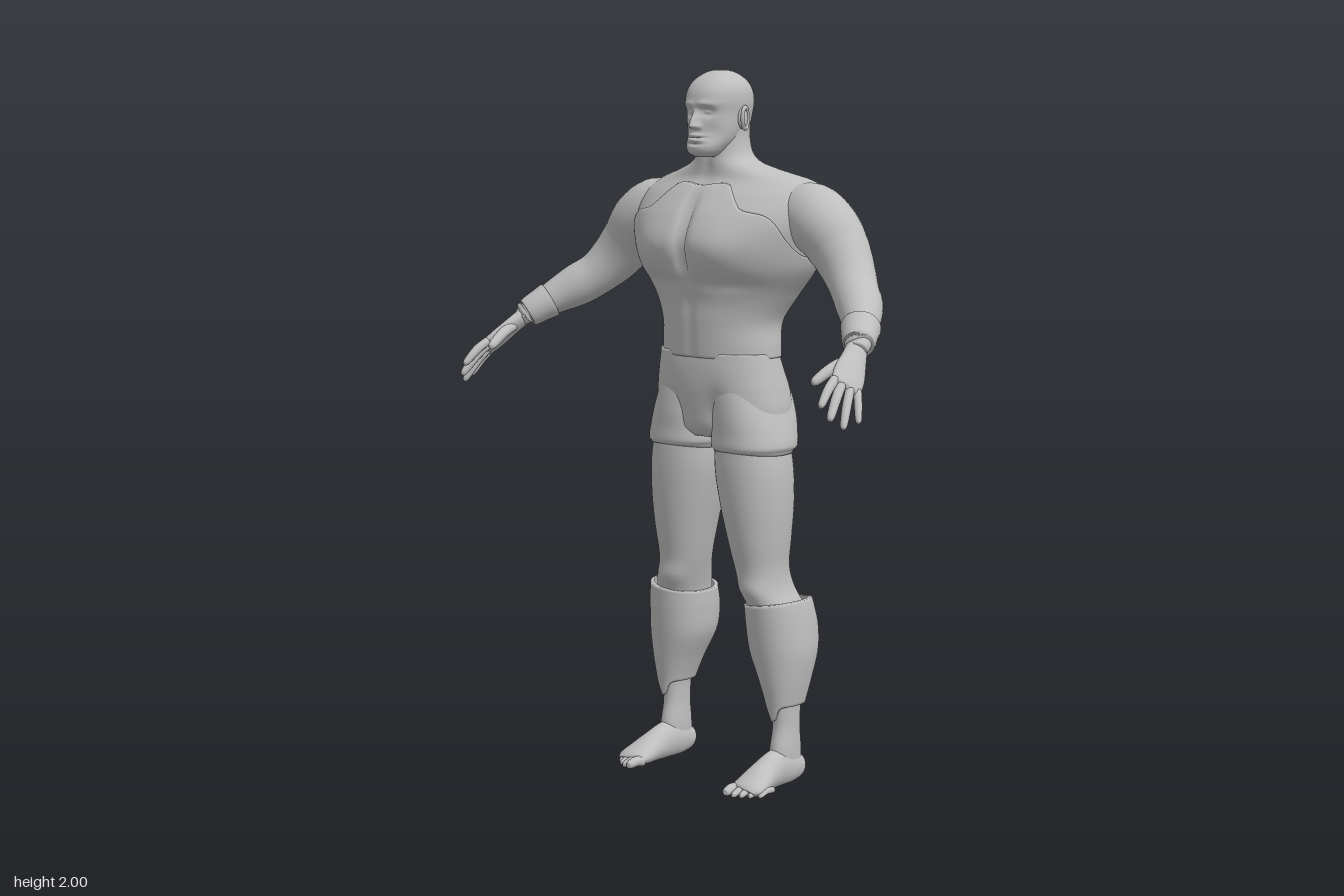
import * as THREE from 'three';

const V = (x, y, z) => new THREE.Vector3(x, y, z);
const gauss = (d, w) => Math.exp(-(d * d) / (w * w));
const smooth = THREE.MathUtils.smoothstep;
const val = (f, a) => (typeof f === 'function' ? f(a) : f);
const bend = (c, p) => Math.sign(c) * Math.abs(c) ** (2 / p);

// Smooth interpolation through rows whose first number is the key
function sample(rows, k) {
  let i = 0;
  while (i < rows.length - 2 && k > rows[i + 1][0]) i++;
  const at = (n) => rows[Math.min(Math.max(n, 0), rows.length - 1)];
  const [p, a, b, q] = [at(i - 1), at(i), at(i + 1), at(i + 2)];
  const h = b[0] - a[0], t = Math.min(Math.max((k - a[0]) / h, 0), 1);
  return a.map((v, c) => {
    const m0 = ((b[c] - p[c]) / (b[0] - p[0])) * h, m1 = ((q[c] - v) / (q[0] - a[0])) * h;
    const d = b[c] - v;
    return v + t * m0 + t * t * (3 * d - 2 * m0 - m1) + t * t * t * (m0 + m1 - 2 * d);
  });
}

export function createModel() {
  const model = new THREE.Group();
  model.name = 'muscularFigure';
  const grey = new THREE.MeshStandardMaterial({ color: 0xbebebe, side: THREE.DoubleSide });
  grey.name = 'clay grey';

  function add(name, geometry, parent = model) {
    const mesh = new THREE.Mesh(geometry, grey);
    mesh.name = name;
    parent.add(mesh);
    return mesh;
  }

  // Closed skin over rings; at(i, angle) gives a point
  function skin(name, at, rows, cols, capped, parent) {
    const pos = [], idx = [];
    for (let i = 0; i <= rows; i++) {
      for (let j = 0; j < cols; j++) {
        pos.push(...at(i, (j / cols) * Math.PI * 2).toArray());
        if (i === rows) continue;
        const a = i * cols + j, b = i * cols + ((j + 1) % cols);
        idx.push(a, b, a + cols, b, b + cols, a + cols);
      }
    }
    if (capped) for (const r of [0, rows]) {
      const mid = V(0, 0, 0), n = pos.length / 3;
      for (let j = 0; j < cols; j++) mid.add(V(...pos.slice((r * cols + j) * 3, (r * cols + j) * 3 + 3)));
      pos.push(...mid.divideScalar(cols).toArray());
      for (let j = 0; j < cols; j++) {
        const a = r * cols + j, b = r * cols + ((j + 1) % cols);
        idx.push(...(r ? [a, b, n] : [b, a, n]));
      }
    }
    const g = new THREE.BufferGeometry();
    g.setAttribute('position', new THREE.Float32BufferAttribute(pos, 3));
    g.setIndex(idx);
    g.computeVertexNormals();
    return add(name, g, parent);
  }

  // Upright part: rows are [y, centre x, half width, z back, z front]; angle 0 is the front
  function stack(name, rows, o = {}, parent = model) {
    const { n = 40, cols = 48, off = 0, p = 2.2, detail, rim = false } = o;
    const { lo = rows[0][0], hi = rows[rows.length - 1][0] } = o;
    return skin(name, (i, a) => {
      const t = rim ? Math.min(Math.max((i - 1) / (n - 2), 0), 1) : i / n;
      const e = rim && (i === 0 || i === n) ? -0.004 : off;
      const y = val(lo, a) + (val(hi, a) - val(lo, a)) * t;
      const [, cx, rx, zb, zf] = sample(rows, y);
      const v = V(cx + (rx + e) * bend(Math.sin(a), p), y, (zb + zf) / 2 + ((zf - zb) / 2 + e) * bend(Math.cos(a), p));
      if (detail) detail(v, a);
      return v;
    }, n, cols, !rim, parent);
  }

  // Limb along a path: points are [x, y, z, radius across, radius along ref]
  function limb(name, pts, parent, o = {}) {
    const { n = 24, cols = 20, ref = V(0, 1, 0), floor = -1 } = o;
    const rows = pts.map((q, i) => [i, ...q]), last = pts.length - 1;
    return skin(name, (i, a) => {
      const k = (i / n) * last, s = sample(rows, k);
      const c = V(s[1], s[2], s[3]);
      const f = sample(rows, Math.min(k + 0.05, last)), b = sample(rows, Math.max(k - 0.05, 0));
      const t = V(f[1] - b[1], f[2] - b[2], f[3] - b[3]).normalize();
      const u = V().crossVectors(ref, t).normalize(), w = V().crossVectors(t, u);
      c.addScaledVector(u, s[4] * Math.cos(a)).addScaledVector(w, s[5] * Math.sin(a));
      c.y = Math.max(c.y, floor);
      return c;
    }, n, cols, true, parent);
  }
  const finger = (name, a, b, r, parent, o) => {
    const m = (t, lift, s) => [a[0] + (b[0] - a[0]) * t, a[1] + (b[1] - a[1]) * t + lift, a[2] + (b[2] - a[2]) * t, r * s, r * s];
    limb(name, [m(0, 0, 1), m(0.45, 0.006, 1.02), m(0.85, 0.002, 0.85), m(0.97, 0, 0.55), m(1, 0, 0.1)], parent, { n: 14, cols: 12, ...o });
  };

  // Torso, shoulders and neck
  const torso = [
    [1.19, 0, 0.178, -0.2, 0.015], [1.24, 0, 0.178, -0.2, 0.018], [1.31, 0, 0.178, -0.21, 0.022],
    [1.38, 0, 0.217, -0.235, 0.026], [1.46, 0, 0.275, -0.255, 0.055], [1.53, 0, 0.3, -0.262, 0.066],
    [1.6, 0, 0.33, -0.262, 0.042], [1.66, 0, 0.32, -0.252, 0.0], [1.7, 0, 0.26, -0.238, -0.035],
    [1.725, 0, 0.17, -0.215, -0.04], [1.75, 0, 0.1, -0.192, -0.04], [1.79, 0, 0.077, -0.176, -0.042], [1.87, 0, 0.074, -0.17, -0.045]];
  const muscles = (v, a) => {
    const front = smooth(Math.cos(a), 0, 0.5), back = smooth(-Math.cos(a), 0, 0.5);
    const upper = smooth(v.y, 1.4, 1.48) * (1 - smooth(v.y, 1.6, 1.7));
    v.z -= 0.4 * v.x * v.x;
    v.z -= front * (0.02 * upper * gauss(v.x, 0.018) + 0.004 * gauss(v.x, 0.015));
    v.z += front * 0.014 * upper * gauss(Math.abs(v.x) - 0.12, 0.08) * gauss(v.y - 1.51, 0.07);
    v.z -= front * 0.008 * gauss(v.y - 1.42, 0.02) * gauss(Math.abs(v.x) - 0.11, 0.09);
    v.z += back * 0.024 * gauss(v.x, 0.035) * smooth(v.y, 1.2, 1.32) * (1 - smooth(v.y, 1.66, 1.74));
    v.z -= back * 0.014 * gauss(Math.abs(v.x) - 0.13, 0.08) * gauss(v.y - 1.56, 0.12);
  };
  stack('torsoAndNeck', torso, { n: 70, cols: 96, detail: muscles });

  // Sleeveless top with a cut neckline and a rounded back
  const neckline = [[0, 1.685], [0.28, 1.69], [0.36, 1.655], [0.46, 1.625], [0.75, 1.605], [1.1, 1.54], [1.4, 1.5],
    [1.8, 1.5], [2.15, 1.57], [2.5, 1.66], [2.8, 1.685], [Math.PI, 1.68]];
  const fold = (a) => Math.min(a, Math.PI * 2 - a);
  stack('vest', torso, {
    n: 60, cols: 128, off: 0.011, rim: true, detail: muscles, lo: 1.212,
    hi: (a) => sample(neckline, fold(a))[1],
  });

  // Shorts: hips with a cleft, plus two short legs
  stack('shortsHips', [
    [0.985, 0, 0.14, -0.17, -0.02], [1.01, 0, 0.205, -0.222, 0.005], [1.06, 0, 0.213, -0.242, 0.018], [1.12, 0, 0.206, -0.242, 0.026],
    [1.18, 0, 0.194, -0.222, 0.026], [1.225, 0, 0.186, -0.205, 0.022]], {
    cols: 72, p: 2.4,
    detail: (v, a) => {
      const low = 1 - smooth(v.y, 1.1, 1.2);
      if (Math.cos(a) < 0) v.z += 0.06 * gauss(v.x, 0.03) * low * -Math.cos(a);
      else v.z -= 0.018 * gauss(Math.abs(v.x) - 0.075, 0.035) * gauss(v.y - 1.05, 0.07);
    },
  });

  // Head with brow, sockets, nose and mouth
  stack('head', [
    [1.762, 0, 0.025, -0.06, -0.005], [1.772, 0, 0.042, -0.075, 0.012], [1.79, 0, 0.055, -0.1, 0.017], [1.815, 0, 0.067, -0.145, 0.011],
    [1.845, 0, 0.075, -0.176, 0.008], [1.88, 0, 0.079, -0.188, 0.006], [1.915, 0, 0.083, -0.193, 0.009], [1.945, 0, 0.08, -0.186, 0.001],
    [1.97, 0, 0.067, -0.17, -0.018], [1.988, 0, 0.046, -0.145, -0.045], [1.997, 0, 0.026, -0.122, -0.068], [2, 0, 0.006, -0.1, -0.088]], {
    n: 110, cols: 128, p: 2.25,
    detail: (v, a) => {
      if (Math.cos(a) < 0.3) return;
      const ax = Math.abs(v.x);
      v.z -= 0.014 * gauss(ax - 0.032, 0.018) * gauss(v.y - 1.884, 0.013);
      v.z += 0.006 * gauss(ax - 0.03, 0.03) * gauss(v.y - 1.906, 0.009);
      v.z += 0.007 * gauss(ax - 0.032, 0.011) * gauss(v.y - 1.884, 0.006);
      v.z += gauss(v.x, 0.011) * (0.004 + 0.022 * smooth(1.9 - v.y, 0, 0.05)) * smooth(v.y, 1.834, 1.846) * (1 - smooth(v.y, 1.89, 1.91));
      v.z += 0.008 * gauss(ax - 0.013, 0.007) * gauss(v.y - 1.846, 0.007);
      v.z -= 0.006 * gauss(ax - 0.045, 0.02) * gauss(v.y - 1.83, 0.025);
      v.z += gauss(v.x, 0.024) * (0.008 * gauss(v.y - 1.821, 0.005) + 0.008 * gauss(v.y - 1.808, 0.005) - 0.006 * gauss(v.y - 1.797, 0.004));
      v.z -= 0.005 * gauss(v.x, 0.026) * gauss(v.y - 1.8145, 0.002);
    },
  });

  // Everything paired is built on the figure's left, then mirrored
  function side(s) {
    const g = new THREE.Group();
    g.name = s > 0 ? 'leftSide' : 'rightSide';
    model.add(g);

    // Ear: cupped disc and rim
    const cup = add('ear', new THREE.SphereGeometry(0.03, 20, 14), g);
    cup.scale.set(0.28, 1.0, 0.62);
    const rim = add('earRim', new THREE.TorusGeometry(0.025, 0.006, 8, 24), g);
    rim.scale.set(0.65, 1.15, 1);
    cup.position.set(0.081, 1.867, -0.096);
    rim.position.set(0.087, 1.868, -0.099);
    rim.rotation.y = Math.PI / 2 + 0.25;

    // Arm and wrist band
    limb('arm', [[0.2, 1.605, -0.145, 0.07, 0.07], [0.28, 1.602, -0.145, 0.088, 0.095], [0.345, 1.572, -0.14, 0.09, 0.09],
      [0.395, 1.515, -0.138, 0.08, 0.083], [0.44, 1.46, -0.122, 0.07, 0.074], [0.485, 1.412, -0.092, 0.064, 0.064],
      [0.53, 1.378, -0.055, 0.062, 0.062], [0.575, 1.343, -0.005, 0.05, 0.05], [0.615, 1.305, 0.052, 0.036, 0.034],
      [0.63, 1.282, 0.085, 0.03, 0.024]], g, { n: 54, cols: 32 });
    limb('wristBand', [[0.583, 1.335, 0.006, 0.045, 0.045], [0.585, 1.333, 0.009, 0.053, 0.052], [0.6, 1.318, 0.032, 0.049, 0.048],
      [0.62, 1.298, 0.06, 0.043, 0.043], [0.622, 1.296, 0.063, 0.034, 0.034]], g, { cols: 28 });

    // Hand
    const ref = V(0.79, 0.6, 0.12);
    limb('palm', [[0.622, 1.292, 0.07, 0.028, 0.024], [0.64, 1.262, 0.105, 0.036, 0.021], [0.658, 1.228, 0.145, 0.045, 0.018],
      [0.672, 1.203, 0.175, 0.043, 0.014], [0.676, 1.197, 0.183, 0.032, 0.006]], g, { ref, cols: 24 });
    const tips = [[[0.652, 1.222, 0.195], [0.668, 1.158, 0.272]], [[0.665, 1.208, 0.185], [0.69, 1.125, 0.262]],
      [[0.679, 1.196, 0.168], [0.712, 1.103, 0.235]], [[0.688, 1.19, 0.148], [0.727, 1.115, 0.192]]];
    tips.forEach(([a, b], i) => finger('finger', a, b, [0.0125, 0.013, 0.012, 0.0105][i], g, { ref }));
    finger('thumb', [0.63, 1.262, 0.115], [0.604, 1.208, 0.228], 0.0155, g, { ref });

    // Leg of the shorts
    stack('shortsLeg', [[0.953, 0.12, 0.108, -0.212, 0.006], [0.962, 0.12, 0.117, -0.222, 0.013], [1.0, 0.117, 0.114, -0.23, 0.013],
      [1.05, 0.11, 0.106, -0.24, 0.014], [1.12, 0.1, 0.09, -0.235, 0.01], [1.18, 0.095, 0.07, -0.2, 0]],
    { lo: (a) => 0.953 - 0.008 * Math.sin(a) ** 2 }, g);

    // Thigh, knee and shin
    stack('leg', [[0.05, 0.212, 0.032, -0.195, -0.085], [0.1, 0.212, 0.033, -0.192, -0.083], [0.17, 0.212, 0.03, -0.187, -0.095],
      [0.25, 0.21, 0.036, -0.195, -0.085], [0.4, 0.19, 0.08, -0.24, -0.06], [0.5, 0.178, 0.07, -0.225, -0.05],
      [0.56, 0.158, 0.064, -0.205, -0.038], [0.62, 0.146, 0.069, -0.192, -0.028], [0.7, 0.14, 0.083, -0.198, -0.013],
      [0.8, 0.132, 0.099, -0.207, 0], [0.9, 0.123, 0.108, -0.207, 0.005], [1.0, 0.115, 0.1, -0.2, 0]], {
      n: 60,
      detail: (v, a) => { v.z += 0.01 * smooth(Math.cos(a), 0, 1) * gauss(v.y - 0.56, 0.03); },
    }, g);

    // Shin guard with a pointed front
    stack('shinGuard', [[0.18, 0.212, 0.031, -0.185, -0.088], [0.23, 0.211, 0.04, -0.195, -0.082], [0.3, 0.205, 0.06, -0.217, -0.07],
      [0.38, 0.193, 0.083, -0.244, -0.058], [0.45, 0.187, 0.086, -0.25, -0.05], [0.51, 0.183, 0.083, -0.238, -0.045], [0.54, 0.18, 0.08, -0.23, -0.043]], {
      off: 0.007, rim: true,
      lo: (a) => 0.232 - 0.045 * gauss(fold(a), 0.4),
      hi: (a) => 0.522 + 0.012 * Math.sin(a),
    }, g);

    // Foot and toes
    limb('foot', [[0.212, 0.035, -0.2, 0.012, 0.015], [0.212, 0.038, -0.19, 0.031, 0.034], [0.212, 0.045, -0.15, 0.037, 0.05],
      [0.212, 0.05, -0.1, 0.037, 0.056], [0.215, 0.04, -0.04, 0.043, 0.044], [0.22, 0.027, 0.01, 0.051, 0.031],
      [0.222, 0.02, 0.045, 0.048, 0.019], [0.222, 0.017, 0.052, 0.03, 0.006]], g, { n: 40, cols: 32, floor: 0 });
    for (let i = 0; i < 5; i++) {
      const x = 0.186 + i * 0.0195 + (i ? 0.004 : 0), z = 0.093 - 0.003 * i - 0.0025 * i * i, r = i ? 0.0105 - 0.0004 * i : 0.0145;
      finger('toe', [x, 0.016, z - 0.06], [x + 0.002, r, z], r, g, { floor: 0 });
    }
    return g;
  }
  side(1);
  const right = side(-1);

  // Mirror the right side and flip its faces
  for (const mesh of right.children) {
    mesh.updateMatrix();
    mesh.geometry.applyMatrix4(mesh.matrix).scale(-1, 1, 1);
    mesh.position.set(0, 0, 0); mesh.rotation.set(0, 0, 0); mesh.scale.set(1, 1, 1);
    const ix = mesh.geometry.index.array;
    for (let i = 0; i < ix.length; i += 3) [ix[i + 1], ix[i + 2]] = [ix[i + 2], ix[i + 1]];
    mesh.geometry.computeVertexNormals();
  }
  return model;
}
